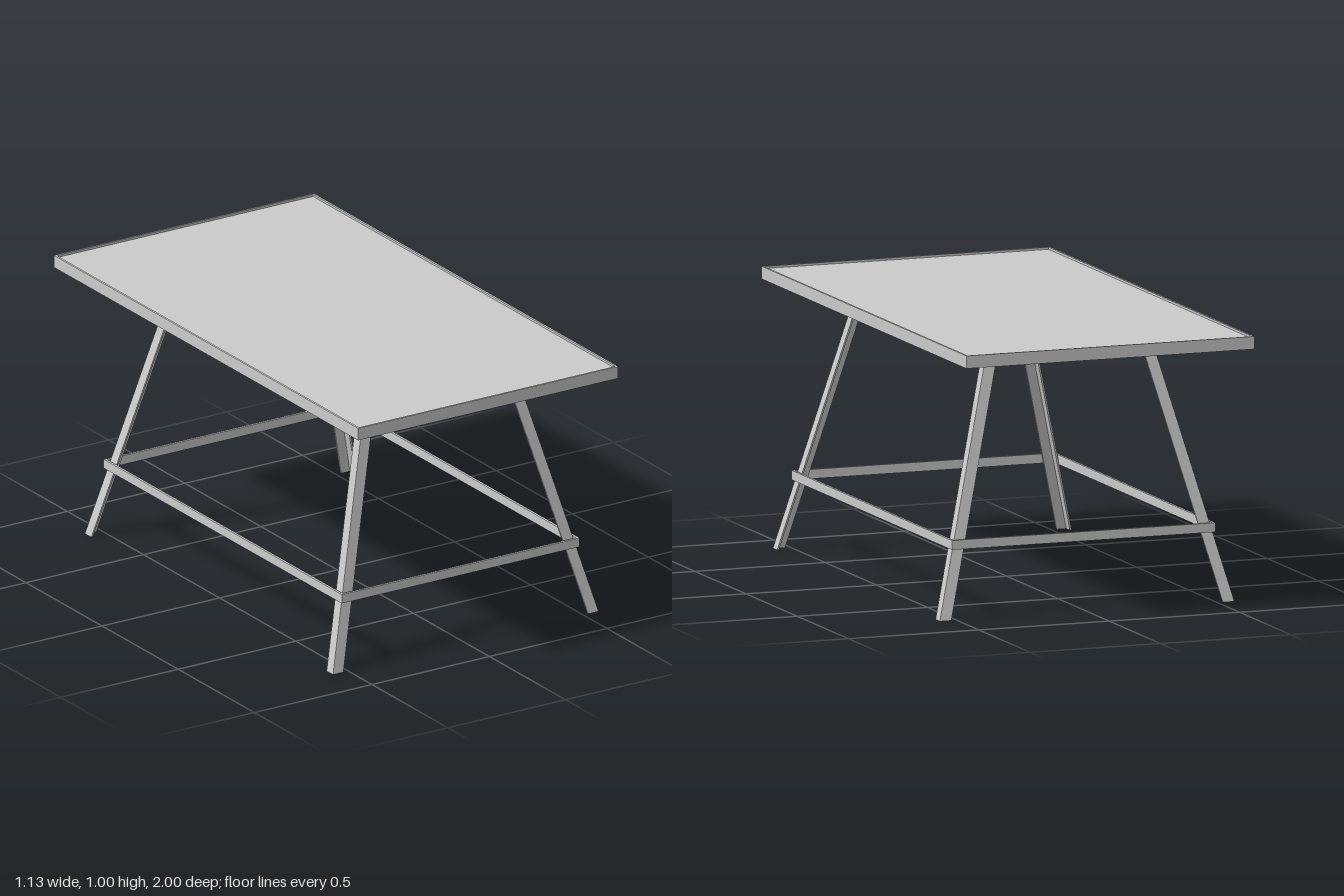
import * as THREE from 'three';

const material = new THREE.MeshStandardMaterial({ color: 0xcccccc, flatShading: true });
const legCentreZ = 0.03;

function addMesh(group, name, geometry) {
  const mesh = new THREE.Mesh(geometry, material);
  mesh.name = name;
  group.add(mesh);
  return mesh;
}

// Upright extrusion of a plan shape drawn in x and -z
function extrudeUp(shape, height) {
  const geometry = new THREE.ExtrudeGeometry(shape, { depth: height, bevelEnabled: false });
  return geometry.rotateX(-Math.PI / 2);
}

function rectangle(Type, hx, hz) {
  const points = [[-hx, -hz], [hx, -hz], [hx, hz], [-hx, hz]];
  return new Type(points.map(([x, y]) => new THREE.Vector2(x, y)));
}

// Rectangular ring of flat bars standing on edge
function barFrame(hx, hz, y0, y1, thickness) {
  const shape = rectangle(THREE.Shape, hx, hz);
  shape.holes.push(rectangle(THREE.Path, hx - thickness, hz - thickness));
  return extrudeUp(shape, y1 - y0).translate(0, y0, 0);
}

// Splayed angle-section leg, its corner facing outward
function angleLeg(sx, sz) {
  const height = 0.975, footX = 0.565, footZ = 0.815;
  const wx = 0.044, wz = 0.042, t = 0.007;
  const profile = [[0, 0], [wx, 0], [wx, t], [t, t], [t, wz], [0, wz]];
  const shape = new THREE.Shape(profile.map(([x, z]) =>
    new THREE.Vector2(sx * (footX - x), -sz * (footZ - z))));
  const geometry = extrudeUp(shape, height);
  const leanX = -sx * 0.265, leanZ = -sz * 0.186;
  return geometry.applyMatrix4(new THREE.Matrix4().set(
    1, leanX, 0, 0,
    0, 1, 0, 0,
    0, leanZ, 1, 0,
    0, 0, 0, 1));
}

export function createModel() {
  const table = new THREE.Group();
  table.name = 'table';

  // Top: thin rim around a recessed panel
  const top = new THREE.Group();
  top.name = 'tableTop';
  top.position.x = -0.005;
  addMesh(top, 'rim', barFrame(0.553, 1, 0.95, 0.996, 0.008));
  addMesh(top, 'panel', new THREE.BoxGeometry(1.09, 0.012, 1.984)).position.y = 0.982;
  table.add(top);

  // Base: legs with bar frames wrapped round them
  const base = new THREE.Group();
  base.name = 'base';
  base.position.z = legCentreZ;
  addMesh(base, 'upperFrame', barFrame(0.323, 0.65, 0.943, 0.977, 0.008));
  addMesh(base, 'stretcherFrame', barFrame(0.506, 0.782, 0.25, 0.284, 0.009));
  for (const sx of [-1, 1]) {
    for (const sz of [-1, 1]) {
      const name = (sz > 0 ? 'front' : 'back') + (sx > 0 ? 'Left' : 'Right') + 'Leg';
      addMesh(base, name, angleLeg(sx, sz));
    }
  }
  table.add(base);

  return table;
}
